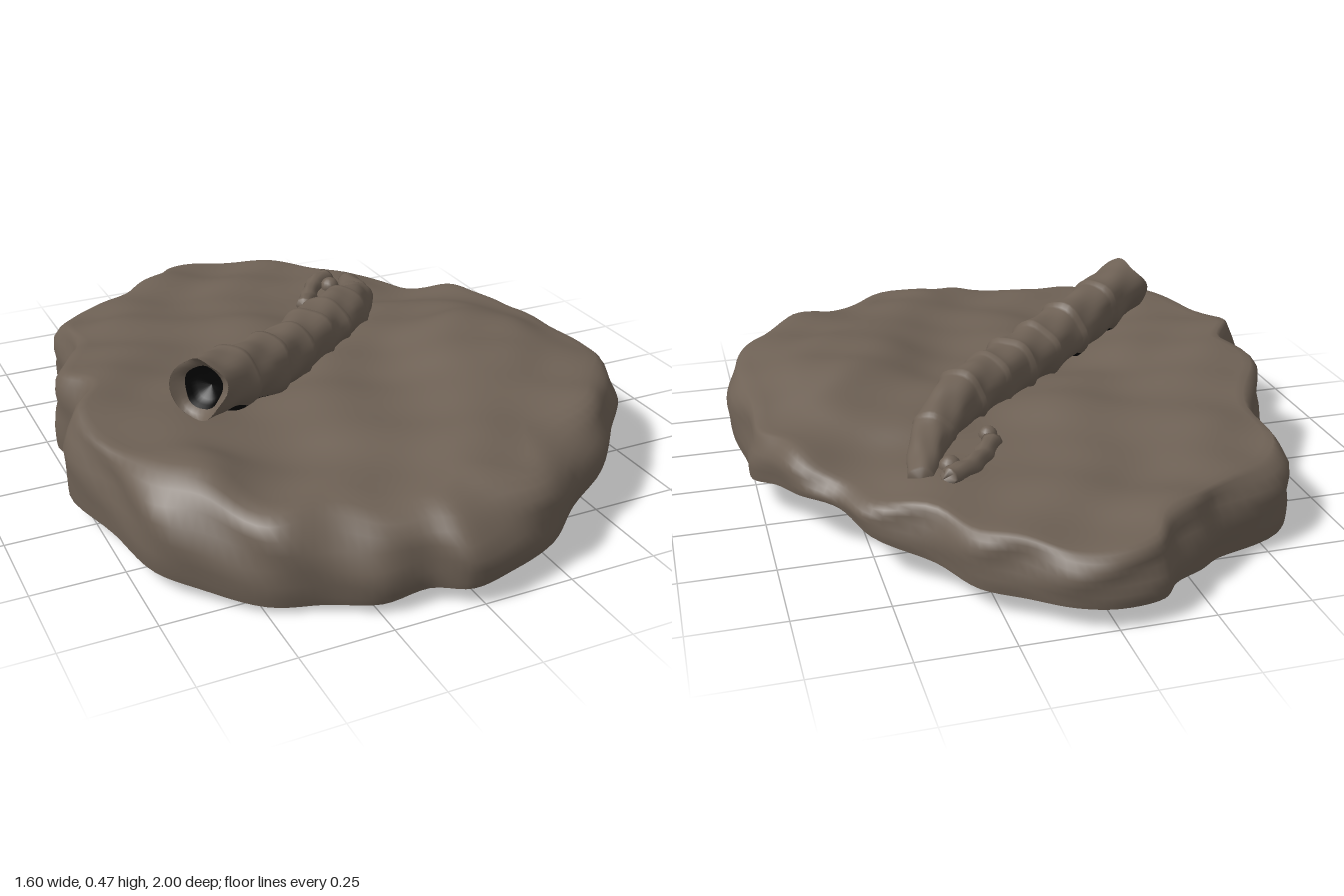
import * as THREE from 'three';

const stone = new THREE.MeshStandardMaterial({ color: 0x6e6155, side: THREE.DoubleSide });
stone.name = 'brown stone';
const dark = new THREE.MeshStandardMaterial({ color: 0x050505, side: THREE.DoubleSide });
dark.name = 'black underside';

// Smooth surface over closed rings of points; isDark(row, column) picks the black faces
function rings(name, rows, cols, point, isDark) {
  const pos = [], sets = [[], []];
  for (let i = 0; i < rows; i++) {
    for (let j = 0; j < cols; j++) pos.push(...point(i, j).toArray());
  }
  for (let i = 0; i < rows - 1; i++) {
    for (let j = 0; j < cols; j++) {
      const k = (j + 1) % cols;
      const a = i * cols + j, b = i * cols + k, c = a + cols, d = b + cols;
      sets[isDark(i, j) ? 1 : 0].push(a, b, c, b, d, c);
    }
  }
  const geo = new THREE.BufferGeometry();
  geo.setAttribute('position', new THREE.Float32BufferAttribute(pos, 3));
  geo.setIndex([...sets[0], ...sets[1]]);
  geo.addGroup(0, sets[0].length, 0);
  geo.addGroup(sets[0].length, sets[1].length, 1);
  geo.computeVertexNormals();
  const mesh = new THREE.Mesh(geo, [stone, dark]);
  mesh.name = name;
  return mesh;
}
const never = () => false;

// Slab outline seen from above, x and z, starting at the back
const OUTLINE = [
  0, -1, 0.1, -0.97, 0.2, -0.9, 0.3, -0.83, 0.38, -0.7, 0.52, -0.59, 0.58, -0.47, 0.67, -0.38,
  0.72, -0.25, 0.77, -0.15, 0.77, 0, 0.795, 0.2, 0.775, 0.38, 0.72, 0.52, 0.62, 0.63, 0.52, 0.74,
  0.38, 0.82, 0.25, 0.92, 0.1, 0.98, -0.03, 1, -0.12, 0.94, -0.25, 0.94, -0.37, 0.87, -0.5, 0.82,
  -0.62, 0.71, -0.71, 0.6, -0.75, 0.4, -0.8, 0.17, -0.72, 0.02, -0.755, -0.1, -0.7, -0.25,
  -0.63, -0.4, -0.62, -0.6, -0.55, -0.7, -0.35, -0.78, -0.27, -0.85, -0.18, -0.91, -0.12, -0.98];

// Height samples of the upper face: x, z, y
const HEIGHTS = [
  -0.75, 0.15, 0.305, -0.62, 0.55, 0.3, -0.35, 0.4, 0.25, -0.42, 0.72, 0.25, -0.06, 0.85, 0.24,
  0, 0.5, 0.26, 0.42, 0.3, 0.325, 0.52, 0.1, 0.32, 0.3, 0.65, 0.275, 0.6, 0.45, 0.28,
  0.77, 0.2, 0.255, 0.7, -0.2, 0.245, 0.4, -0.1, 0.275, 0.1, 0.1, 0.265, -0.2, 0.05, 0.255,
  -0.5, 0, 0.29, -0.65, -0.1, 0.295, -0.4, -0.4, 0.265, -0.1, -0.2, 0.26, 0, -0.5, 0.24,
  0.35, -0.5, 0.215, 0.52, -0.5, 0.2, -0.55, -0.6, 0.23, 0, -0.95, 0.203, -0.2, -0.75, 0.215,
  0.15, 0.83, 0.275];

const lumps = (x, z) =>
  0.008 * Math.sin(9 * x + 5 * z + 1) * Math.sin(7 * z - 3 * x) + 0.006 * Math.sin(6 * x - 11 * z)
  + 0.006 * Math.sin(17 * x + 9 * z + Math.sin(8 * z)) + 0.003 * Math.sin(25 * z - 14 * x);

function topHeight(x, z) {
  let sum = 0, weight = 0;
  for (let i = 0; i < HEIGHTS.length; i += 3) {
    const d = (x - HEIGHTS[i]) ** 2 + (z - HEIGHTS[i + 1]) ** 2;
    const w = 1 / (d + 0.012) ** 2;
    sum += w * HEIGHTS[i + 2];
    weight += w;
  }
  return sum / weight + lumps(x, z);
}

const hump = (x, z, cx, cz, r) => Math.exp(-((x - cx) ** 2 + (z - cz) ** 2) / (r * r));
const bottomHeight = (x, z) =>
  0.06 - 0.042 * hump(x, z, -0.4, 0.8, 0.35) - 0.058 * hump(x, z, -0.4, -0.58, 0.3);
// Height where the brown wall meets the dark underside
const seamHeight = (x, z) => bottomHeight(x, z) + 0.005
  + 0.1 * hump(x, z, 0.7, 0.55, 0.31) + 0.085 * hump(x, z, 0.64, -0.41, 0.3);

function makeSlab() {
  const points = [];
  for (let i = 0; i < OUTLINE.length; i += 2) {
    points.push(new THREE.Vector3(OUTLINE[i], 0, OUTLINE[i + 1]));
  }
  const cols = 190;
  const edge = new THREE.CatmullRomCurve3(points, true).getPoints(cols);

  // Rim steps: share of the bevel width, and drop from the top to the seam
  const rim = [[0.72, 0.04], [0.46, 0.12], [0.26, 0.25], [0.12, 0.4], [0.02, 0.58], [0, 0.75], [0.02, 0.9], [0.06, 1]];
  const flat = 30;
  // The bevel is steep at the sides and back, broad and scalloped at the front
  const bevel = ({ x, z }) => {
    const front = THREE.MathUtils.smoothstep(z, 0.35, 0.85);
    return 0.06 + front * (0.08 + 0.035 * Math.sin(17 * x + 0.5)) + 0.012 * Math.sin(14 * z - 9 * x);
  };
  const upper = rings('slabTop', flat + 1 + rim.length, cols, (i, j) => {
    const width = bevel(edge[j]);
    const [share, drop] = i > flat ? rim[i - flat - 1] : [1, 0];
    const t = i > flat ? 1 - width * share : (1 - width) * i / flat;
    const x = edge[j].x * t, z = edge[j].z * t;
    const y = THREE.MathUtils.lerp(topHeight(x, z), seamHeight(x, z), drop);
    // Chipped hollows in the upper wall
    const chip = 1 + 0.014 * Math.sin(Math.PI * Math.min(1, drop * 1.4)) * Math.sin(16 * x + 11 * z + 30 * y);
    return new THREE.Vector3(x * chip, y, z * chip);
  }, never);

  // The underside slants gently inward from the seam, then runs flat
  const slant = [[0, 0], [0.06, 0.25], [0.13, 0.5], [0.21, 0.78], [0.3, 1], [0.45, 1], [0.6, 1], [0.8, 1], [1, 1]];
  const under = rings('slabUnderside', slant.length, cols, (i, j) => {
    const [inset, blend] = slant[i];
    const start = 1 - bevel(edge[j]) * 0.06;
    const t = start * (1 - inset);
    const x = edge[j].x * t, z = edge[j].z * t;
    const seam = seamHeight(edge[j].x * start, edge[j].z * start);
    return new THREE.Vector3(x, THREE.MathUtils.lerp(seam, bottomHeight(x, z), blend), z);
  }, () => true);
  return [upper, under];
}

// Sweep along a curve with a radius rule; flip turns the surface inward
function sweep(name, path, rows, cols, radius, isDark, { flip = false, to = 1 } = {}) {
  const curve = new THREE.CatmullRomCurve3(path.map(p => new THREE.Vector3(...p)));
  const up = new THREE.Vector3(0, 1, 0);
  return rings(name, rows, cols, (i, j) => {
    const u = to * i / (rows - 1);
    const tangent = curve.getTangent(u);
    const side = tangent.clone().cross(up).normalize();
    const lift = side.clone().cross(tangent);
    const a = (flip ? 1 : -1) * j / cols * Math.PI * 2;
    const r = radius(u, a);
    const ragged = u === 0 ? 0.012 * Math.sin(3 * a + 1) : 0;
    return curve.getPoint(u)
      .addScaledVector(side, r * Math.cos(a))
      .addScaledVector(lift, r * Math.sin(a))
      .addScaledVector(tangent, ragged);
  }, isDark);
}

// Segmented stem lying across the slab
const STEM = [[-0.485, 0.395, 0.345], [-0.31, 0.35, 0.22], [-0.14, 0.315, 0.09], [0.04, 0.298, -0.06],
  [0.2, 0.285, -0.19], [0.31, 0.245, -0.34], [0.375, 0.222, -0.53]];
const JOINTS = [0, 0.13, 0.26, 0.37, 0.46, 0.55, 0.65, 0.82, 1.01];

function stemRadius(u, a) {
  const base = u < 0.6 ? 0.082 : THREE.MathUtils.lerp(0.082, 0.034, (u - 0.6) / 0.4);
  const k = JOINTS.findIndex(v => v > u);
  const f = (u - JOINTS[k - 1]) / (JOINTS[k] - JOINTS[k - 1]);
  const flare = u < 0.8 ? 0.13 * f ** 4 - 0.03 * Math.sin(Math.PI * f) : 0;
  const rough = 0.035 * Math.sin(3 * a + 14 * u) + 0.03 * Math.sin(5 * a - 33 * u)
    + 0.02 * Math.sin(2 * a + 70 * u);
  return u > 0.995 ? 0.001 : base * (1 + flare + rough);
}

function makeStem() {
  const group = new THREE.Group();
  group.name = 'stem';
  const rows = 130, cols = 30;
  // The raised end is dark along its belly
  const belly = (i, j) => i > rows * 0.06 && i < rows * 0.27
    && Math.sin(-(j + 0.5) / cols * Math.PI * 2) < -0.72;
  group.add(sweep('stemShell', STEM, rows, cols, stemRadius, belly));
  // Mouth: a thick brown lip around a black hollow
  const scale = [1, 0.85, 0.7, 0.6, 0.45, 0];
  group.add(sweep('stemMouth', STEM, scale.length, cols,
    (u, a) => stemRadius(0, a) * scale[Math.round(u / 0.01)] + 0.0005,
    i => i > 1, { flip: true, to: 0.05 }));
  return group;
}

function makeTwig() {
  const group = new THREE.Group();
  group.name = 'twig';
  const path = [[0.32, -0.565], [0.25, -0.52], [0.19, -0.44], [0.14, -0.36]]
    .map(([x, z]) => [x, topHeight(x, z) + 0.008, z]);
  group.add(sweep('twigStalk', path, 30, 10,
    (u, a) => u === 0 || u === 1 ? 0.001 : 0.026 + 0.004 * Math.sin(21 * u + 2 * a), never));
  // Small knobs beside the stalk
  for (const [x, z, r] of [[0.29, -0.49, 0.03], [0.145, -0.325, 0.026]]) {
    const knob = new THREE.Mesh(new THREE.SphereGeometry(r, 14, 10), stone);
    knob.name = 'twigKnob';
    knob.position.set(x, topHeight(x, z) + 0.002, z);
    group.add(knob);
  }
  return group;
}

export function createModel() {
  const model = new THREE.Group();
  model.name = 'fossilSlab';
  model.add(...makeSlab(), makeStem(), makeTwig());
  return model;
}
